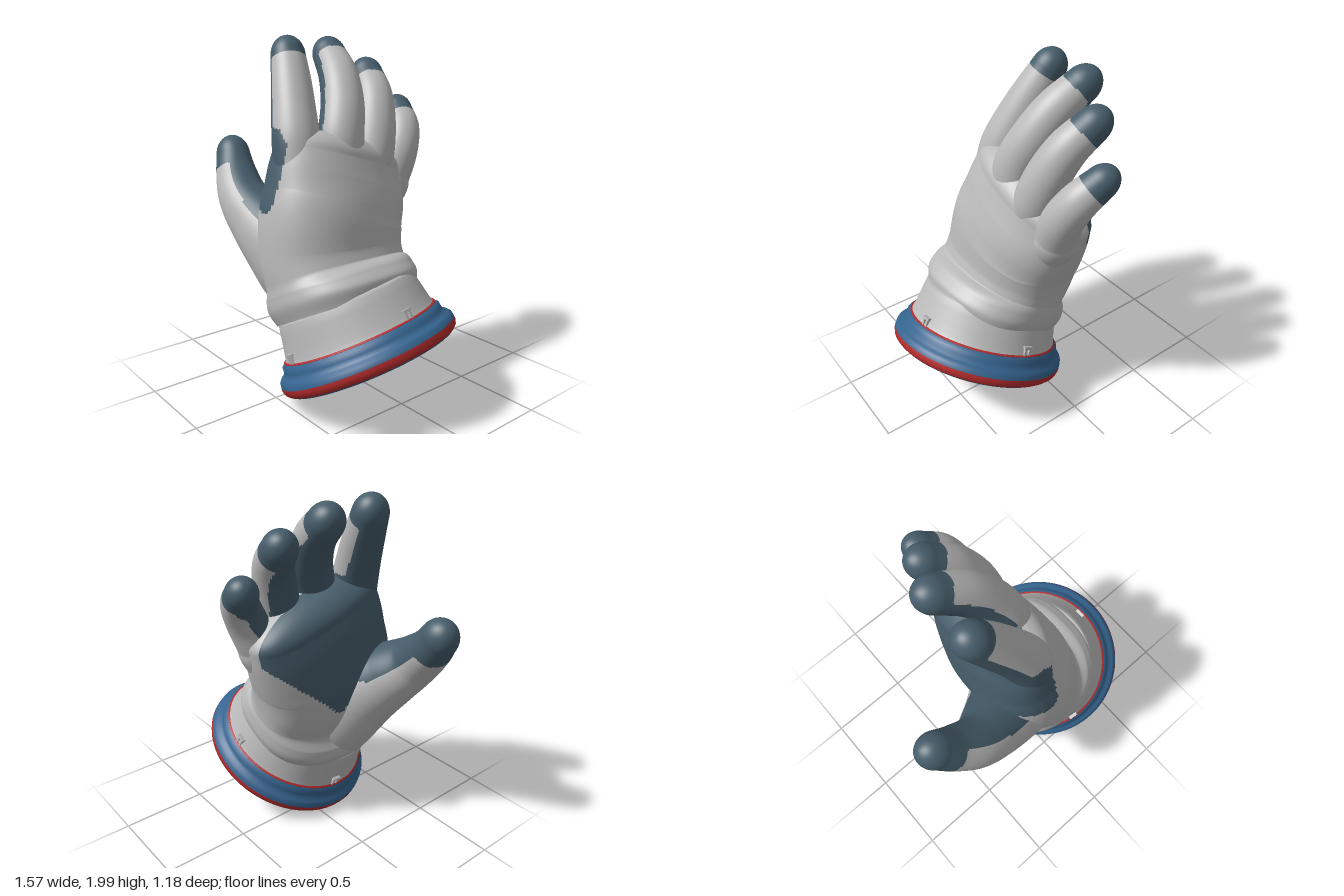
import * as THREE from 'three';

const mat = (name, color) => {
  const m = new THREE.MeshStandardMaterial({ color });
  m.name = name;
  return m;
};

// Lofts rounded cross-sections along a smooth path and closes the far end with a dome.
// sections: [x, y, z, radius across the palm direction, radius across z]
// paint(point, outward, along) returns true where the grip coating lies.
function loft(name, sections, materials, paint, { rings = 84, sides = 72, power = 1, cup = 0, dome } = {}) {
  const path = new THREE.CatmullRomCurve3(sections.map(s => new THREE.Vector3(s[0], s[1], s[2])));
  const size = new THREE.CatmullRomCurve3(sections.map(s => new THREE.Vector3(s[3], s[4], 0)));
  const end = path.getPoint(1), endT = path.getTangent(1);
  const positions = [], index = [[], []], marks = [];
  const domeRings = 16, total = rings + domeRings;
  const soft = v => Math.sign(v) * Math.abs(v) ** power;
  for (let i = 0; i <= total; i++) {
    const u = Math.min(i / rings, 1);
    const phi = Math.max(0, i - rings) / domeRings * Math.PI / 2;
    const c = path.getPoint(u), r = size.getPoint(u), T = path.getTangent(u);
    c.addScaledVector(T, Math.sin(phi) * dome);
    const f = Math.max(Math.cos(phi), 0.002);
    const B = new THREE.Vector3(0, 0, 1).addScaledVector(T, -T.z).normalize();
    const A = B.clone().cross(T);
    for (let j = 0; j < sides; j++) {
      const t = j / sides * Math.PI * 2, cs = Math.cos(t), sn = Math.sin(t);
      const out = A.clone().multiplyScalar(cs).addScaledVector(B, sn);
      const p = c.clone()
        .addScaledVector(A, f * r.x * soft(cs) + cup * u * f * sn * sn)
        .addScaledVector(B, f * r.y * soft(sn));
      positions.push(p.x, p.y, p.z);
      marks.push(paint(p, out, p.clone().sub(end).dot(endT)) ? 1 : 0);
    }
  }
  for (let i = 0; i < total; i++) {
    for (let j = 0; j < sides; j++) {
      const k = (j + 1) % sides;
      const a = i * sides + j, b = i * sides + k, c = b + sides, d = a + sides;
      const coated = marks[a] + marks[b] + marks[c] + marks[d] > 2 ? 1 : 0;
      index[coated].push(a, b, c, a, c, d);
    }
  }
  const g = new THREE.BufferGeometry();
  g.setAttribute('position', new THREE.Float32BufferAttribute(positions, 3));
  g.setIndex([...index[0], ...index[1]]);
  g.addGroup(0, index[0].length, 0);
  g.addGroup(index[0].length, index[1].length, 1);
  g.computeVertexNormals();
  const mesh = new THREE.Mesh(g, materials);
  mesh.name = name;
  return mesh;
}

export function createModel() {
  const fabric = mat('light grey fabric', 0xb9b9b9);
  const grip = mat('slate grip', 0x465d6a);
  const blue = mat('blue ring', 0x35648f);
  const red = mat('red trim', 0xb32b2b);
  const skin = [fabric, grip];
  const glove = new THREE.Group();
  glove.name = 'glove';

  // Hand: wrist fold, palm and knuckles
  glove.add(loft('hand', [
    [0.175, 0.53, 0.12, 0.37, 0.40],
    [0.138, 0.60, 0.12, 0.392, 0.425],
    [0.108, 0.66, 0.12, 0.365, 0.425],
    [0.078, 0.72, 0.12, 0.305, 0.42],
    [0.04, 0.81, 0.115, 0.305, 0.425],
    [0.01, 0.97, 0.09, 0.305, 0.432],
    [-0.005, 1.09, 0.05, 0.283, 0.435],
    [-0.02, 1.21, 0.015, 0.25, 0.435],
    [-0.03, 1.32, -0.02, 0.21, 0.425],
  ], skin, (p, out) => {
    const limit = THREE.MathUtils.clamp(0.02 + (p.z - 0.1) * 0.3, -0.08, 0.02) - Math.max(0, 1.14 - p.y) * 0.7;
    const rise = Math.min(0.85 * Math.abs(p.z - 0.02), p.z > 0 ? 0.31 : 0.4);
    return p.x < limit && p.y > 0.76 + rise && (out.x < -0.2 || p.z > 0);
  }, { rings: 130, sides: 128, power: 0.85, cup: 0.025, dome: 0.14 }));

  // Thumb: wide base mound and web narrowing to a rounded tip
  const inner = new THREE.Vector3(0.68, 0.6, -0.42);
  glove.add(loft('thumb', [
    [0.01, 0.65, 0.20, 0.32, 0.27],
    [-0.13, 0.79, 0.27, 0.275, 0.25],
    [-0.335, 0.95, 0.345, 0.19, 0.19],
    [-0.47, 1.065, 0.375, 0.148, 0.148],
    [-0.60, 1.19, 0.345, 0.12, 0.122],
    [-0.68, 1.29, 0.315, 0.106, 0.10],
  ], skin, (p, out, along) => along > -0.11 || (p.y > 0.95 && out.dot(inner) > 0.36), { dome: 0.127 }));

  // Fingers: path and radius, cap length, direction of the grip side and how far it wraps
  const fingers = {
    indexFinger: { cap: 0.03, grip: [-1, 0, 0], wrap: 0.2, web: 0.02, pts: [
      [-0.03, 1.3, 0.3, 0.135], [-0.065, 1.45, 0.285, 0.132], [-0.14, 1.62, 0.245, 0.121],
      [-0.215, 1.76, 0.205, 0.111], [-0.287, 1.885, 0.17, 0.098]] },
    middleFinger: { cap: 0.04, grip: [-1, 0, 0], wrap: 0, web: -0.05, pts: [
      [0.035, 1.28, 0.05, 0.135], [0.02, 1.45, 0.04, 0.13], [-0.04, 1.62, -0.02, 0.123],
      [-0.14, 1.77, -0.072, 0.113], [-0.275, 1.885, -0.115, 0.098]] },
    ringFinger: { cap: 0.06, grip: [-0.95, 0, 0.3], wrap: 0.25, web: -0.05, pts: [
      [0.04, 1.2, -0.13, 0.13], [0.045, 1.35, -0.17, 0.127], [0.01, 1.51, -0.22, 0.12],
      [-0.06, 1.655, -0.272, 0.109], [-0.175, 1.768, -0.32, 0.095]] },
    littleFinger: { cap: 0.06, grip: [-0.7, 0, 0.7], wrap: 0.45, web: -0.08, pts: [
      [0.02, 1.04, -0.25, 0.12], [0.035, 1.2, -0.32, 0.12], [0.04, 1.34, -0.385, 0.112],
      [0.0, 1.46, -0.448, 0.102], [-0.09, 1.553, -0.495, 0.088]] },
  };
  for (const [name, f] of Object.entries(fingers)) {
    const side = new THREE.Vector3(...f.grip);
    glove.add(loft(name, f.pts.map(([x, y, z, r]) => [x, y, z, r, r]), skin, (p, out, along) =>
      along > -f.cap || (p.y > 1.09 && (out.dot(side) > f.wrap
        || (p.y < 1.52 && p.x < f.web - Math.max(0, p.y - 1.44) * 0.8))),
    { dome: f.pts[4][3] * 1.22 }));
  }

  // Cuff: turned bands stacked along the tilted wrist axis
  const cuff = new THREE.Group();
  cuff.name = 'cuff';
  cuff.position.set(0.325, 0.238, 0.072);
  cuff.quaternion.setFromUnitVectors(new THREE.Vector3(0, 1, 0), new THREE.Vector3(-0.44, 0.886, 0.137).normalize());
  const bands = [
    ['cuffBase', grip, [[0, -0.012], [0.3, -0.009], [0.465, -0.003]]],
    ['baseEdge', blue, [[0.465, -0.003], [0.493, 0.001], [0.504, 0.009]]],
    ['redRim', red, [[0.504, 0.009], [0.515, 0.02], [0.521, 0.04], [0.52, 0.058]]],
    ['blueRing', blue, [[0.52, 0.058], [0.516, 0.082], [0.502, 0.098], [0.482, 0.107], [0.475, 0.13], [0.472, 0.155], [0.455, 0.17]]],
    ['redPiping', red, [[0.455, 0.17], [0.456, 0.174], [0.445, 0.179]]],
    ['wristBand', fabric, [[0.445, 0.178], [0.437, 0.2], [0.425, 0.26], [0.412, 0.33], [0.403, 0.375], [0.392, 0.39], [0.35, 0.395]]],
  ];
  for (const [name, material, profile] of bands) {
    const g = new THREE.LatheGeometry(profile.map(([r, y]) => new THREE.Vector2(r, y)), 96);
    const m = new THREE.Mesh(g, material);
    m.name = name;
    cuff.add(m);
  }

  // Four small latches where the band meets the ring
  for (const angle of [-0.12, 1.6, 3.1, 4.7]) {
    const latch = new THREE.Group();
    latch.name = 'latch';
    latch.rotation.y = angle;
    for (const [w, h, x, y] of [[0.055, 0.016, 0, 0.222], [0.014, 0.04, -0.015, 0.196], [0.014, 0.04, 0.015, 0.196]]) {
      const bar = new THREE.Mesh(new THREE.BoxGeometry(w, h, 0.024), fabric);
      bar.name = 'latchBar';
      bar.position.set(x, y, 0.438);
      latch.add(bar);
    }
    cuff.add(latch);
  }
  glove.add(cuff);
  return glove;
}
